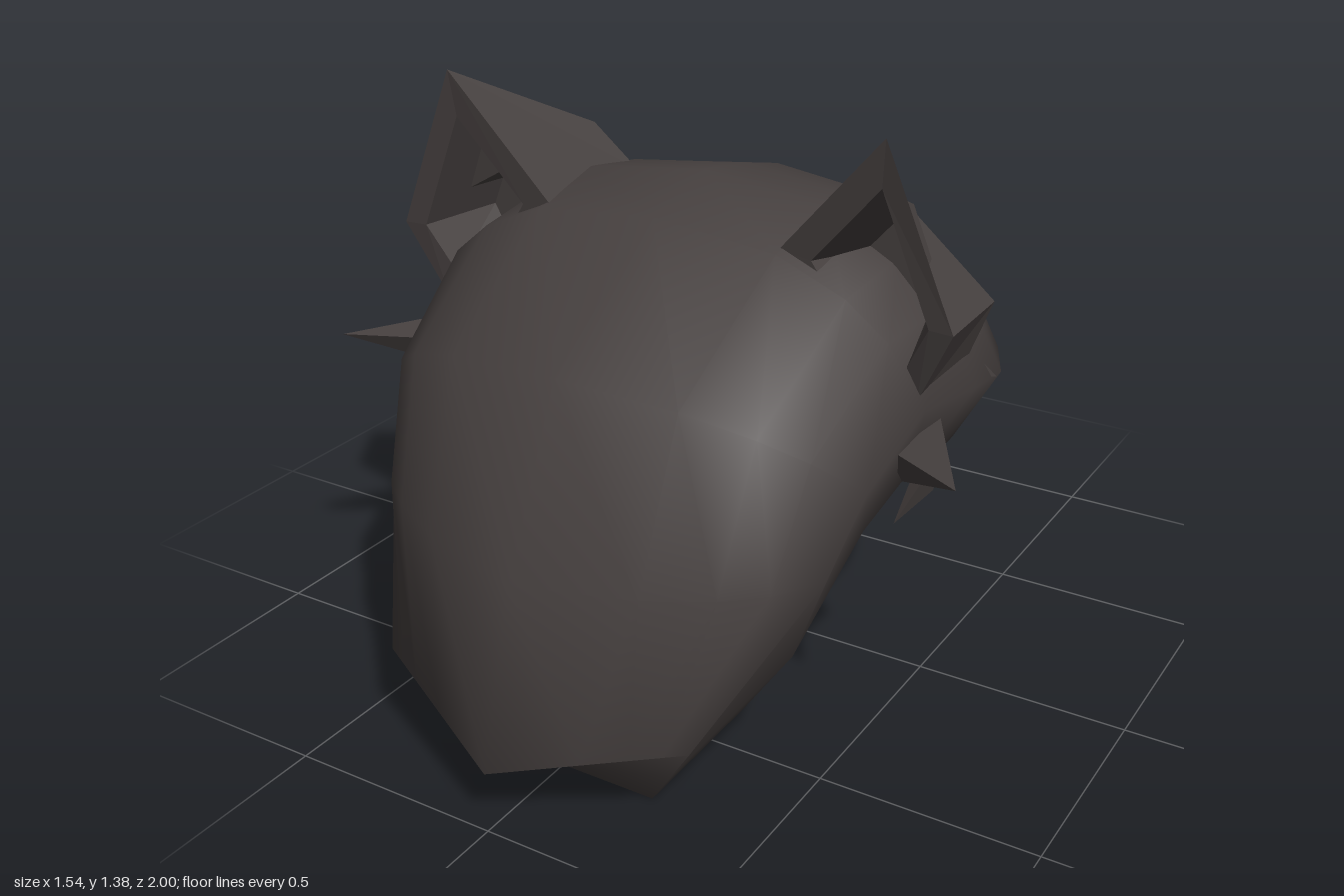
import * as THREE from 'three';
import { toCreasedNormals } from 'three/addons/utils/BufferGeometryUtils.js';

const fur = new THREE.MeshStandardMaterial({ color: 0x46403f, side: THREE.DoubleSide });
fur.name = 'dark grey fur';

function add(parent, name, geometry) {
  const mesh = new THREE.Mesh(geometry, fur);
  mesh.name = name;
  parent.add(mesh);
  return mesh;
}

// Faceted sheet from corner points and polygon faces, mirrored when side is -1
function facets(points, faces, side = 1) {
  const pos = [];
  for (const f of faces) {
    for (let i = 1; i < f.length - 1; i++) {
      const tri = side > 0 ? [f[0], f[i], f[i + 1]] : [f[0], f[i + 1], f[i]];
      for (const k of tri) pos.push(points[k][0] * side, points[k][1], points[k][2]);
    }
  }
  const g = new THREE.BufferGeometry();
  g.setAttribute('position', new THREE.Float32BufferAttribute(pos, 3));
  g.computeVertexNormals();
  return g;
}

// Neck, skull and snout lofted from neck end to muzzle
function headGeometry() {
  // top [z, y], widest side [z, y], underside [z, y], half width, underside half width, roundness, x shift
  const rings = [
    [[1.0, 0.14], [0.83, 0.22], [0.74, 0.0], 0.38, 0.23, 0, 0],
    [[0.89, 0.52], [0.59, 0.54], [0.50, 0.11], 0.55, 0.31, 0.6, 0],
    [[0.71, 0.90], [0.49, 0.70], [0.30, 0.43], 0.585, 0.42, 1, 0],
    [[0.35, 1.13], [0.32, 0.82], [0.12, 0.43], 0.625, 0.38, 1, 0],
    [[0.14, 1.178], [0.10, 0.79], [0.02, 0.425], 0.64, 0.34, 1, 0],
    [[-0.03, 1.15], [-0.05, 0.77], [-0.08, 0.42], 0.635, 0.31, 1, 0],
    [[-0.18, 1.11], [-0.20, 0.76], [-0.20, 0.435], 0.565, 0.27, 1, 0],
    [[-0.38, 1.01], [-0.31, 0.74], [-0.34, 0.46], 0.47, 0.21, 1, 0],
    [[-0.49, 0.80], [-0.43, 0.62], [-0.47, 0.41], 0.32, 0.17, 1, -0.01],
    [[-0.66, 0.66], [-0.61, 0.50], [-0.66, 0.32], 0.235, 0.13, 1, -0.025],
    [[-0.80, 0.58], [-0.81, 0.46], [-0.83, 0.34], 0.195, 0.11, 1, -0.025],
    [[-0.89, 0.55], [-0.90, 0.47], [-0.87, 0.39], 0.14, 0.09, 1, -0.025],
  ];
  // hollow of the throat [z, y] on the second and third ring
  const throat = { 1: [0.68, 0.12], 2: [0.53, 0.44] };
  const arc = [[0, 0], [0.47, 0.1], [0.72, 0.32], [0.87, 0.57], [1, 1]];
  const pos = [], idx = [];
  rings.forEach(([top, mid, low, w, wb, round, sx], r) => {
    const mix = (a, b, t) => [a[0] + (b[0] - a[0]) * t, a[1] + (b[1] - a[1]) * t];
    const half = arc.map(([x, t]) => [x * w, ...mix(top, mid, x + (t - x) * round)]);
    half.push([w + (wb - w) * (0.5 - 0.15 * round), ...mix(mid, low, 0.5 + 0.05 * round)]);
    half.push([wb, ...low]);
    const inner = throat[r] ?? low;
    half.push([wb * 0.7, ...inner]);
    const ring = [...half, [0, ...inner], ...half.slice(1).reverse().map(([x, z, y]) => [-x, z, y])];
    for (const [x, z, y] of ring) pos.push(x + sx, y, z);
  });
  const n = 16, last = (rings.length - 1) * n;
  for (let r = 0; r < rings.length - 1; r++) {
    for (let j = 0; j < n; j++) {
      const a = r * n + j, c = r * n + (j + 1) % n;
      idx.push(a, c, a + n, c, c + n, a + n);
    }
  }
  // Neck end fans from the underside, muzzle end from the top
  for (let j = 1; j < n - 1; j++) {
    idx.push(8, (8 + j + 1) % n, (8 + j) % n, last, last + j, last + j + 1);
  }
  const g = new THREE.BufferGeometry();
  g.setAttribute('position', new THREE.Float32BufferAttribute(pos, 3));
  g.setIndex(idx);
  g.computeVertexNormals();
  return g;
}

// Blunt nose: a low-poly ball pushed towards a box
function noseGeometry() {
  const g = new THREE.SphereGeometry(1, 8, 6);
  const p = g.attributes.position;
  const blunt = (v) => Math.sign(v) * Math.abs(v) ** 0.75;
  for (let i = 0; i < p.count; i++) {
    p.setXYZ(i, -0.025 + 0.14 * blunt(p.getX(i)), 0.49 + 0.1 * blunt(p.getY(i)), -0.91 + 0.09 * blunt(p.getZ(i)));
  }
  g.computeVertexNormals();
  return toCreasedNormals(g, 1.1);
}

// Hollow ear whose cavity opens toward +z
function earGeometry(side) {
  const rim = [[0.53, 1.375, 0.345], [0.285, 1.1, 0.32], [0.46, 0.84, 0.31], [0.6, 0.83, 0.31], [0.685, 1.0, 0.34]];
  const front = [[0.36, 1.21, 0.04], [0.27, 1.1, 0.0], [0.44, 0.84, 0.05], [0.6, 0.83, 0.07], [0.65, 0.97, 0.05]];
  const lip = [[0.52, 1.27, 0.335], [0.36, 1.09, 0.32], [0.48, 0.91, 0.31], [0.57, 0.89, 0.31], [0.63, 1.0, 0.335]];
  const floor = lip.map(([x, y]) => [x * 0.65 + 0.165, y * 0.65 + 0.36, 0.15]);
  const points = [...rim, ...front, ...lip, ...floor];
  const faces = [[9, 8, 7, 6, 5], [15, 16, 17, 18, 19]];
  for (let i = 0; i < 5; i++) {
    const j = (i + 1) % 5;
    faces.push([i, i + 5, j + 5, j]);
    faces.push([i, j, j + 10, i + 10]);
    faces.push([i + 10, j + 10, j + 15, i + 15]);
  }
  return facets(points, faces, side);
}

// Pointed lock of fur: tip and three root corners
function lock(tip, a, b, c, side) {
  return facets([tip, a, b, c], [[0, 1, 2], [0, 2, 3], [0, 3, 1]], side);
}

export function createModel() {
  const model = new THREE.Group();
  model.name = 'animalHead';
  add(model, 'head', headGeometry());
  add(model, 'nose', noseGeometry());

  for (const side of [1, -1]) {
    const label = side > 0 ? 'left' : 'right';
    add(model, label + 'Ear', earGeometry(side));

    // Cheek fur
    add(model, label + 'UpperCheekTuft', lock([0.77, 0.755, 0.49], [0.6, 0.755, 0.19], [0.57, 0.64, 0.3], [0.56, 0.74, 0.36], side));
    add(model, label + 'LowerCheekTuft', lock([0.62, 0.62, 0.44], [0.6, 0.66, 0.16], [0.58, 0.56, 0.16], [0.55, 0.61, 0.2], side));

    // Jagged fur in front of the ear
    for (let i = 0; i < 3; i++) {
      const y = 0.8 + i * 0.09, x = 0.61 - i * 0.04;
      add(model, label + 'EarTuft', lock([x + 0.035, y - 0.02, 0.0], [x - 0.06, y + 0.1, 0.06], [x - 0.05, y - 0.02, 0.06], [x - 0.1, y, 0.01], side));
    }

    // Chin fur
    add(model, label + 'ChinTuft', lock([0.1, 0.27, -0.475], [0.17, 0.44, -0.44], [0.12, 0.34, -0.64], [0.04, 0.41, -0.47], side));

    // Narrow eye set almost flush in the brow
    const eye = add(model, label + 'Eye', new THREE.SphereGeometry(1, 8, 6));
    eye.scale.set(0.03, 0.02, 0.065);
    eye.position.set(side * 0.225, 0.86, -0.415);
    eye.rotation.set(-0.9, side * 0.4, 0);
  }
  return model;
}
